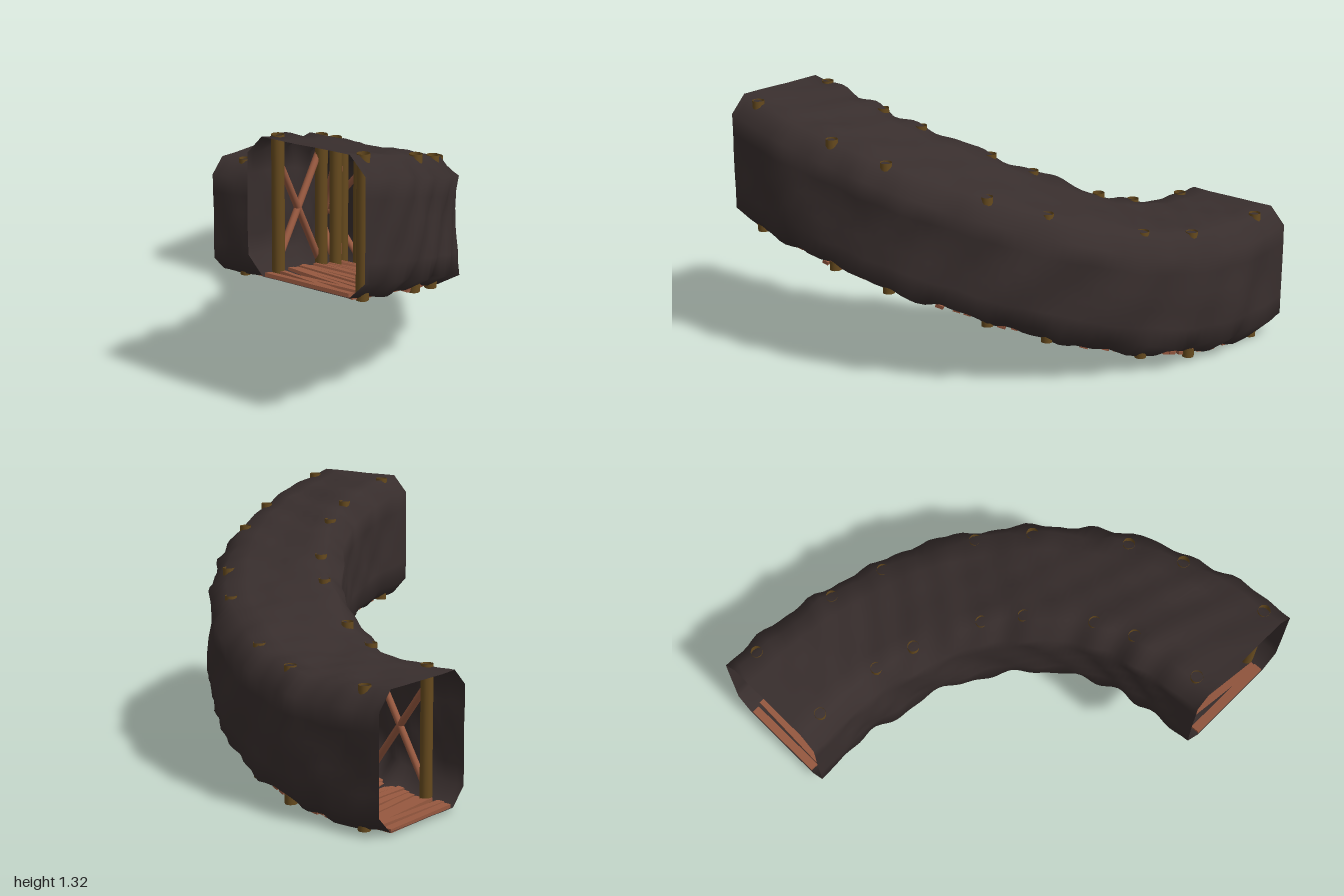
import * as THREE from 'three';

const RADIUS = 1.44, STRAIGHT = 0.2, ARC = RADIUS * Math.PI / 2, LENGTH = ARC + 2 * STRAIGHT;
const HALF = 0.325, HEIGHT = 0.655, BEVEL = 0.085, BASE = 0.016;

// Rise of the floor along the tunnel, as a smooth curve of height over distance
const rise = new THREE.CatmullRomCurve3([[0, 0], [0.1, 0.005], [0.2, 0.05], [0.3, 0.15], [0.39, 0.28], [0.47, 0.395],
  [0.54, 0.5], [0.73, 0.745], [0.866, 0.895], [1, 1]].map(([f, h]) => new THREE.Vector3(f, h * 0.65, 0)));
const risePoints = rise.getPoints(200);
function floorHeight(f) {
  let i = 1;
  while (i < 200 && risePoints[i].x < f) i++;
  const a = risePoints[i - 1], b = risePoints[i];
  return BASE + THREE.MathUtils.lerp(a.y, b.y, (f - a.x) / (b.x - a.x));
}

// Sideways tilt of the floor: the inside of the bend lies higher
const bank = (f) => 0.15 * Math.sin(Math.PI * f);

// Position and heading of the centre line: straight, quarter turn, straight
function station(f) {
  const s = f * LENGTH;
  const a = THREE.MathUtils.clamp((s - STRAIGHT) / RADIUS, 0, Math.PI / 2);
  const extra = Math.min(0, s - STRAIGHT) + Math.max(0, s - STRAIGHT - ARC);
  const tx = Math.cos(a), tz = Math.sin(a);
  return {
    x: -0.8 + RADIUS * tz + tx * extra, y: floorHeight(f), z: 0.8 - RADIUS * tx + tz * extra,
    yaw: Math.atan2(tx, tz), outX: tz, outZ: -tx,
  };
}

// Point at a sideways offset (positive = outside of the bend) and a height over the floor
function place(f, side, up) {
  const p = station(f);
  const squash = 1 - 0.03 * Math.sin(Math.PI * f);
  return new THREE.Vector3(p.x + p.outX * side, p.y + up * squash - side * bank(f), p.z + p.outZ * side);
}

let seed = 7;
function random() {
  seed = (seed * 16807) % 2147483647;
  return seed / 2147483647;
}

// Smooth rock unevenness
function bump(x, y, z) {
  return 0.4 * Math.sin(9 * x + 5 * y + 1.3) * Math.cos(8 * z - 7 * y)
    + 0.35 * Math.sin(21 * x - 13 * z + 9 * y) + 0.35 * Math.cos(25 * z + 17 * y - 11 * x)
    + 0.2 * Math.sin(34 * x + 29 * z - 23 * y);
}

// Bevelled square section swept along the path
function shellGeometry() {
  const w = HALF, h = HEIGHT, b = BEVEL, corners = [
    [w, b], [w, h - b], [w - b, h], [b - w, h], [-w, h - b], [-w, b], [b - w, 0], [w - b, 0]];
  const profile = [];
  corners.forEach(([x, y], i) => {
    const [nx, ny] = corners[(i + 1) % 8];
    const steps = i % 2 ? 1 : 5;
    for (let k = 0; k < steps; k++) profile.push([x + (nx - x) * k / steps, y + (ny - y) * k / steps]);
  });
  const rings = 72, n = profile.length, positions = [], index = [];
  for (let i = 0; i <= rings; i++) {
    const f = i / rings;
    const strength = 0.023 * Math.min(1, 0.12 + 7 * Math.min(f, 1 - f));
    for (let j = 0; j < n; j++) {
      const [x, y] = profile[j];
      const p = place(f, x, y);
      const d = bump(p.x, p.y, p.z) * strength;
      const u = x / HALF, v = 2 * y / HEIGHT - 1;
      const rockX = Math.abs(u) > 0.7 ? Math.sign(u) : 0;
      const rockY = Math.abs(v) > 0.7 ? Math.sign(v) : 0;
      const q = place(f, x + rockX * (d + strength * 0.3), y + rockY * d * 0.75);
      positions.push(q.x, Math.max(0.005, q.y), q.z);
      if (i < rings) {
        const a = i * n + j, c = i * n + (j + 1) % n;
        index.push(a, c, a + n, c, c + n, a + n);
      }
    }
  }
  const g = new THREE.BufferGeometry();
  g.setAttribute('position', new THREE.Float32BufferAttribute(positions, 3));
  g.setIndex(index);
  g.computeVertexNormals();
  return g;
}

export function createModel() {
  const model = new THREE.Group();
  model.name = 'mineTunnel';
  const rock = new THREE.MeshStandardMaterial({ color: 0x382e2d, side: THREE.DoubleSide });
  const timber = new THREE.MeshStandardMaterial({ color: 0x664a1e, side: THREE.DoubleSide });
  const plankWood = new THREE.MeshStandardMaterial({ color: 0x96583f });
  rock.name = 'dark rock';
  timber.name = 'post timber';
  plankWood.name = 'red plank wood';

  const shell = new THREE.Mesh(shellGeometry(), rock);
  shell.name = 'rockShell';
  model.add(shell);

  // Round bar between two points
  const bar = (name, from, to, radius, material, open) => {
    const mesh = new THREE.Mesh(new THREE.CylinderGeometry(radius, radius, from.distanceTo(to), 12, 1, open), material);
    mesh.position.copy(from).add(to).multiplyScalar(0.5);
    mesh.quaternion.setFromUnitVectors(new THREE.Vector3(0, 1, 0), to.clone().sub(from).normalize());
    mesh.name = name;
    model.add(mesh);
  };

  // Four equal bays, each with two pairs of posts and crossed braces on both walls
  for (let bay = 0; bay < 4; bay++) {
    const start = 0.25 * bay + 0.055, end = 0.25 * bay + 0.212;
    for (const side of [-0.23, 0.24]) {
      for (const f of [start, end]) {
        bar('supportPost', place(f, side, -0.012), place(f, side, HEIGHT + 0.01), 0.03, timber, true);
      }
      const wall = side * 1.06;
      bar('crossBrace', place(start, wall, 0.04), place(end, wall, HEIGHT - 0.08), 0.017, plankWood, false);
      bar('crossBrace', place(start, wall, HEIGHT - 0.08), place(end, wall, 0.04), 0.017, plankWood, false);
    }
  }

  // Uneven floor planks laid across the path, following its slope and tilt
  const count = 52;
  for (let i = 0; i < count; i++) {
    const f = (i + 0.5) / count;
    const p = station(f);
    const before = Math.max(0, f - 0.01), after = Math.min(1, f + 0.01);
    const slope = (floorHeight(after) - floorHeight(before)) / ((after - before) * LENGTH);
    const plank = new THREE.Mesh(new THREE.BoxGeometry(0.46 + 0.03 * random(), 0.018, 0.032 + 0.012 * random()), plankWood);
    const skew = i === 0 || i === count - 1 ? 0 : 0.2 * (random() - 0.5);
    plank.position.set(p.x, Math.max(0.014, p.y + 0.004 + 0.009 * random()), p.z);
    plank.rotation.order = 'YXZ';
    plank.rotation.set(-Math.atan(slope), p.yaw + skew, 0.03 * (random() - 0.5) - Math.atan(bank(f)));
    plank.name = 'floorPlank';
    model.add(plank);
  }
  return model;
}
